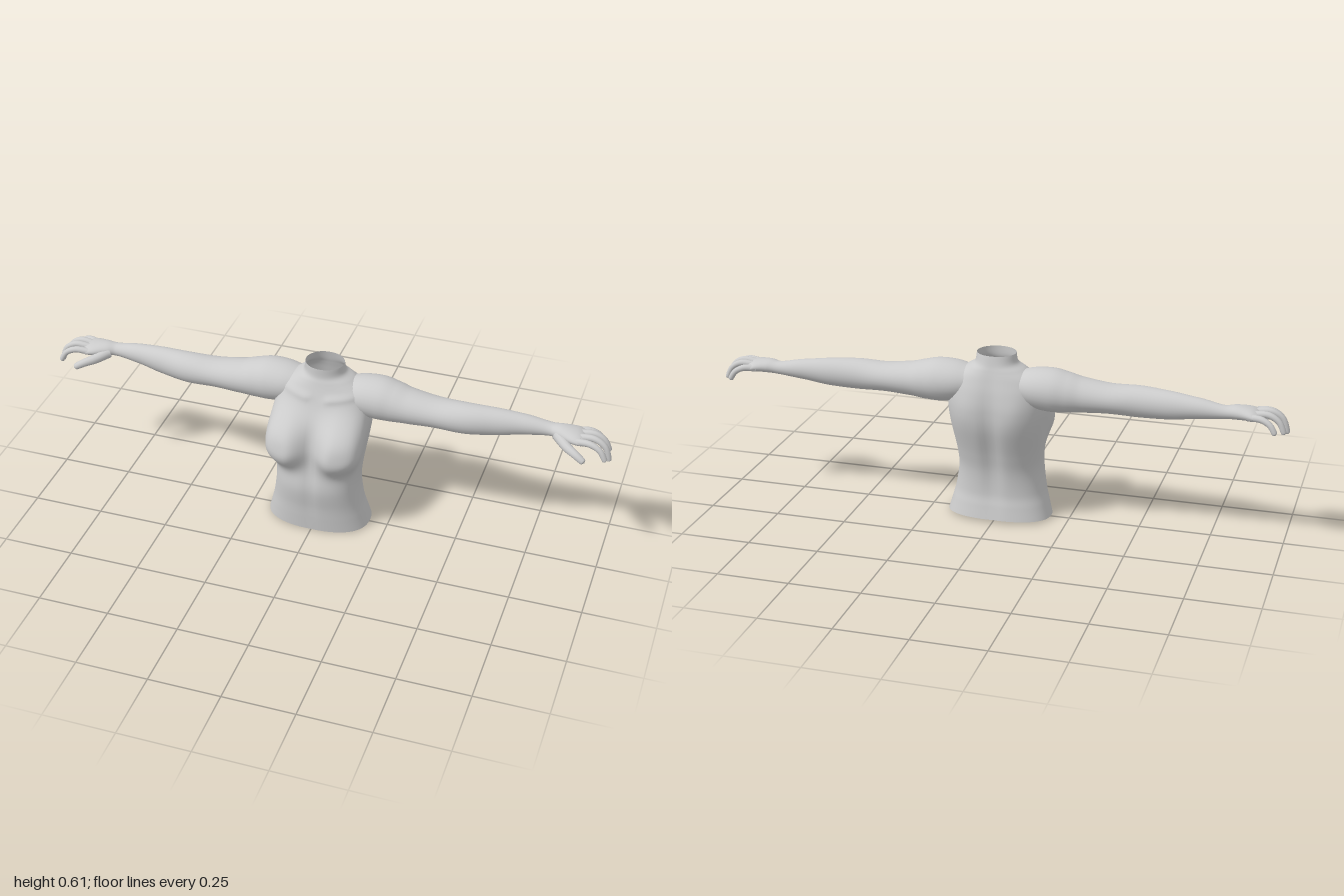
import * as THREE from 'three';

const material = new THREE.MeshStandardMaterial({ color: 0xcccccc, side: THREE.DoubleSide });

// Skin a rows x cols net of points, closed around each ring
function skin(name, rows, cols, pointAt) {
  const pos = [], idx = [];
  for (let i = 0; i <= rows; i++)
    for (let j = 0; j < cols; j++) pos.push(...pointAt(i / rows, (j / cols) * Math.PI * 2));
  for (let i = 0; i < rows; i++)
    for (let j = 0; j < cols; j++) {
      const a = i * cols + j, b = i * cols + ((j + 1) % cols);
      idx.push(a, a + cols, b, b, a + cols, b + cols);
    }
  const geo = new THREE.BufferGeometry();
  geo.setAttribute('position', new THREE.Float32BufferAttribute(pos, 3));
  geo.setIndex(idx);
  geo.computeVertexNormals();
  const mesh = new THREE.Mesh(geo, material);
  mesh.name = name;
  return mesh;
}

// Limb through sections [x, y, z, radius up, radius sideways]; s = -1 mirrors it
function limb(name, sections, s, rows, cols) {
  const path = new THREE.CatmullRomCurve3(sections.map(p => new THREE.Vector3(p[0] * s, p[1], p[2])), false, 'centripetal');
  const radii = new THREE.CatmullRomCurve3(sections.map(p => new THREE.Vector3(p[3], p[4], 0)), false, 'catmullrom', 0.4);
  // Uniform parameter keeps radii in step with the path points
  return skin(name, rows, cols, (t, a) => {
    const c = path.getPoint(t), r = radii.getPoint(t), tan = path.getTangent(t);
    const side = new THREE.Vector3().crossVectors(tan, new THREE.Vector3(0, 1, 0)).normalize();
    const up = new THREE.Vector3().crossVectors(side, tan);
    c.addScaledVector(side, Math.cos(a) * Math.max(r.y, 0)).addScaledVector(up, Math.sin(a) * Math.max(r.x, 0));
    return [c.x, c.y, c.z];
  });
}

// Torso sections: height, half width, front z, back z
const TORSO = [
  [0, 0.185, 0.11, -0.115], [0.05, 0.172, 0.115, -0.107], [0.1, 0.16, 0.12, -0.1],
  [0.18, 0.149, 0.131, -0.105], [0.25, 0.152, 0.122, -0.122], [0.35, 0.165, 0.1, -0.152],
  [0.42, 0.172, 0.082, -0.157], [0.48, 0.165, 0.052, -0.149], [0.53, 0.145, 0.03, -0.135],
  [0.56, 0.105, 0.018, -0.125], [0.58, 0.075, 0.011, -0.118], [0.612, 0.068, 0.01, -0.11],
];

const bell = (v, width) => Math.exp(-((v / width) ** 2));

function buildTorso() {
  const size = new THREE.CatmullRomCurve3(TORSO.map(r => new THREE.Vector3(r[1], r[2], r[3])), false, 'catmullrom', 0.5);
  const height = new THREE.CatmullRomCurve3(TORSO.map(r => new THREE.Vector3(r[0], 0, 0)), false, 'catmullrom', 0.5);
  const power = (v, e) => Math.sign(v) * Math.abs(v) ** e;
  return skin('torso', 88, 80, (t, a) => {
    const { x: hw, y: front, z: back } = size.getPoint(t);
    let y = height.getPoint(t).x;
    const e = y < 0.5 ? 0.82 : THREE.MathUtils.lerp(0.82, 1, (y - 0.5) / 0.112);
    const sn = Math.sin(a), mid = (front + back) / 2;
    let x = hw * power(Math.cos(a), e);
    let z = mid + ((front - back) / 2) * power(sn, e);

    if (sn > 0) {
      // Bust: full below, long slope above
      const dx = (Math.abs(x) - 0.1) / 0.078, dy = (y - 0.345) / (y > 0.345 ? 0.105 : 0.078);
      const bust = Math.exp(-((dx * dx + dy * dy) ** 1.4)) * THREE.MathUtils.smoothstep(sn, 0, 0.5);
      z += 0.07 * bust;
      x += Math.sign(x) * 0.027 * bust * THREE.MathUtils.smoothstep(Math.abs(x), 0.08, 0.14);
      // Breastbone and belly line
      z -= 0.007 * bell(x, 0.02) * bell(y - 0.25, 0.16);
      // Collarbones and the notch between them
      z += 0.006 * bell(y - 0.505 - 0.15 * Math.abs(x), 0.013) * THREE.MathUtils.smoothstep(Math.abs(x), 0.015, 0.04);
    } else {
      // Spine furrow between the shoulder blades
      z += 0.016 * bell(x, 0.03) * bell(y - 0.3, 0.2);
      z -= 0.006 * bell(Math.abs(x) - 0.09, 0.04) * bell(y - 0.42, 0.07);
    }
    // Open lower edge rises slightly to the back
    y += 0.005 * (1 - sn) * Math.max(0, 1 - y / 0.1);
    return [x, y, z];
  });
}

const ARM = [
  [0.07, 0.505, -0.06, 0.05, 0.06], [0.14, 0.5, -0.06, 0.07, 0.077], [0.2, 0.497, -0.06, 0.075, 0.08],
  [0.25, 0.492, -0.058, 0.069, 0.075], [0.3, 0.488, -0.055, 0.06, 0.069], [0.4, 0.484, -0.053, 0.051, 0.061],
  [0.5, 0.483, -0.051, 0.054, 0.054], [0.6, 0.484, -0.062, 0.049, 0.044], [0.7, 0.487, -0.072, 0.036, 0.034],
  [0.79, 0.485, -0.076, 0.023, 0.026], [0.83, 0.487, -0.07, 0.024, 0.036], [0.875, 0.485, -0.066, 0.021, 0.049],
  [0.9, 0.481, -0.067, 0.015, 0.049], [0.913, 0.478, -0.068, 0, 0.03],
];

// Finger joints, knuckle to tip
const FINGERS = {
  indexFinger: [[0.88, 0.484, -0.03], [0.93, 0.488, -0.023], [0.965, 0.472, -0.018], [0.985, 0.44, -0.014]],
  middleFinger: [[0.88, 0.488, -0.054], [0.94, 0.493, -0.051], [0.978, 0.47, -0.048], [0.995, 0.424, -0.046]],
  ringFinger: [[0.88, 0.487, -0.08], [0.935, 0.491, -0.084], [0.97, 0.471, -0.086], [0.988, 0.435, -0.088]],
  littleFinger: [[0.87, 0.482, -0.1], [0.915, 0.483, -0.111], [0.945, 0.468, -0.118], [0.962, 0.442, -0.122]],
  thumb: [[0.815, 0.48, -0.055], [0.855, 0.466, -0.016], [0.888, 0.456, 0.005], [0.918, 0.44, 0.015]],
};

function buildArm(s) {
  const arm = new THREE.Group();
  arm.name = s > 0 ? 'leftArm' : 'rightArm';
  arm.add(limb('armAndPalm', ARM, s, 78, 28));
  for (const [name, joints] of Object.entries(FINGERS)) {
    const [r0, r1] = name === 'thumb' ? [0.02, 0.011] : [0.0125, 0.009];
    const sections = joints.map((p, i) => {
      const r = THREE.MathUtils.lerp(r0, r1, i / 3);
      return [...p, r, r];
    });
    // Rounded fingertip
    const tip = joints[3], prev = joints[2];
    const dir = new THREE.Vector3(...tip).sub(new THREE.Vector3(...prev)).normalize().multiplyScalar(0.006);
    sections.push([tip[0] + dir.x, tip[1] + dir.y, tip[2] + dir.z, 0, 0]);
    arm.add(limb(name, sections, s, 24, 12));
  }
  return arm;
}

export function createModel() {
  const model = new THREE.Group();
  model.name = 'upperBody';
  model.add(buildTorso(), buildArm(1), buildArm(-1));
  return model;
}
